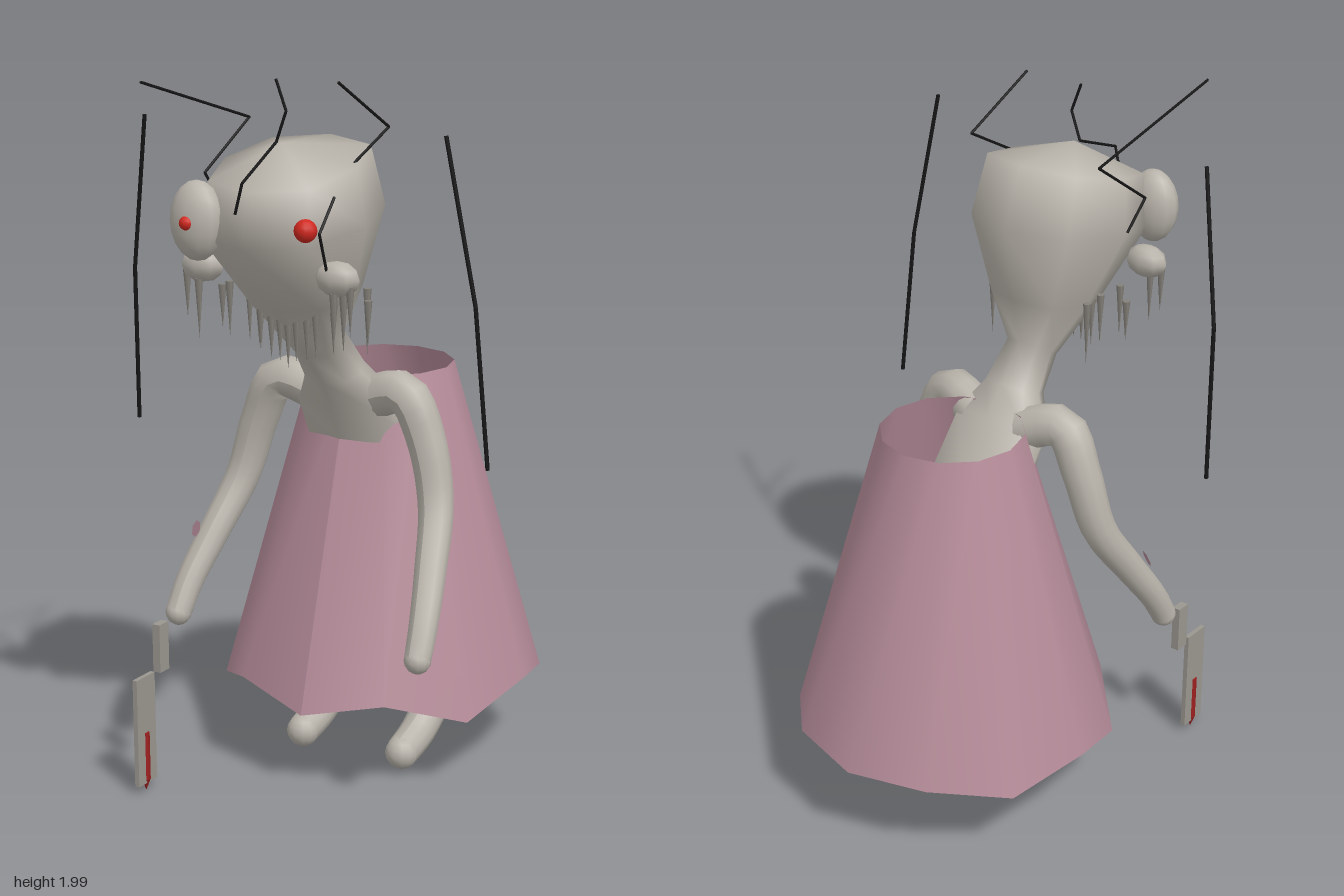
import * as THREE from 'three';

const mat = (name, color, side = THREE.FrontSide) => {
  const m = new THREE.MeshStandardMaterial({ color, side });
  m.name = name;
  return m;
};

export function createModel() {
  const model = new THREE.Group();
  const skin = mat('skin', 0xb8b3aa);
  const pink = mat('dusty pink cloth', 0xb58c99, THREE.DoubleSide);
  const red = mat('eye red', 0xd0281f);
  const blood = mat('blood red', 0xa02020);
  const black = mat('black', 0x161616);
  const metal = mat('metal', 0x9a968f);
  const tooth = mat('tooth grey', 0x85817a);
  const V = (p) => new THREE.Vector3(...p);

  const add = (name, geo, material, pos = [0, 0, 0], scale = [1, 1, 1]) => {
    const m = new THREE.Mesh(geo, material);
    m.name = name;
    m.position.set(...pos);
    m.scale.set(...scale);
    model.add(m);
    return m;
  };

  // Closed skin through rings of [back z, back y, front z, front y, half width]
  function loft(rings, n, bottom, top) {
    const pos = [], idx = [];
    const pow = (v) => Math.sign(v) * Math.abs(v) ** 0.8;
    for (const [bz, by, fz, fy, w] of rings)
      for (let i = 0; i < n; i++) {
        const a = (i / n) * Math.PI * 2, c = pow(Math.cos(a));
        pos.push(w * pow(Math.sin(a)), (by + fy) / 2 + c * (fy - by) / 2, (bz + fz) / 2 + c * (fz - bz) / 2);
      }
    const last = (rings.length - 1) * n, b = rings.length * n;
    pos.push(...bottom, ...top);
    for (let i = 0; i < n; i++) {
      const j = (i + 1) % n;
      for (let r = 0; r < last; r += n) idx.push(r + i, r + j, r + n + i, r + j, r + n + j, r + n + i);
      idx.push(b, j, i, b + 1, last + i, last + j);
    }
    const g = new THREE.BufferGeometry();
    g.setAttribute('position', new THREE.Float32BufferAttribute(pos, 3));
    g.setIndex(idx);
    g.computeVertexNormals();
    return g;
  }

  // Tapered round limb with a rounded end
  function limb(name, pts, r0, r1) {
    const curve = new THREE.CatmullRomCurve3(pts.map(V));
    const seg = 24, rad = 12, g = new THREE.TubeGeometry(curve, seg, r0, rad);
    const p = g.attributes.position, v = new THREE.Vector3();
    for (let i = 0; i < p.count; i++) {
      const u = Math.floor(i / (rad + 1)) / seg, c = curve.getPointAt(u);
      v.fromBufferAttribute(p, i).sub(c).multiplyScalar(1 + (r1 / r0 - 1) * u).add(c);
      p.setXYZ(i, v.x, v.y, v.z);
    }
    g.computeVertexNormals();
    add(name, g, skin);
    add(name + 'End', new THREE.SphereGeometry(r1, 12, 8), skin, pts[pts.length - 1]);
  }

  // Bent wire made of straight rods
  function wire(name, pts, r) {
    for (let i = 0; i + 1 < pts.length; i++) {
      const a = V(pts[i]), d = V(pts[i + 1]).sub(a);
      const m = add(name, new THREE.CylinderGeometry(r, r, d.length(), 5), black);
      m.position.copy(a).addScaledVector(d, 0.5);
      m.quaternion.setFromUnitVectors(new THREE.Vector3(0, 1, 0), d.normalize());
    }
  }

  // Body, neck and head in one skin
  add('bodyAndHead', loft([
    [-0.22, 0.58, -0.02, 0.58, 0.12],
    [-0.22, 0.8, 0.02, 0.8, 0.14],
    [-0.13, 1.0, 0.09, 0.99, 0.15],
    [-0.01, 1.14, 0.135, 1.09, 0.15],
    [0.05, 1.22, 0.175, 1.165, 0.085],
    [0.13, 1.32, 0.25, 1.25, 0.067],
    [0.105, 1.45, 0.4, 1.4, 0.14],
    [0.065, 1.67, 0.57, 1.59, 0.218],
    [0.13, 1.835, 0.54, 1.73, 0.2],
  ], 8, [0, 0.54, -0.12], [0, 1.838, 0.37]), skin);

  // Skirt: open twelve-sided cone with a ragged hem
  const skirt = new THREE.CylinderGeometry(0.2, 0.46, 1, 12, 1, true);
  const hem = [0.245, 0.295, 0.225, 0.295, 0.25, 0.29, 0.285, 0.29, 0.25, 0.295, 0.225, 0.295];
  const sp = skirt.attributes.position;
  for (let i = 0; i < sp.count; i++) sp.setY(i, sp.getY(i) > 0 ? 1.165 : hem[(i % 13) % 12]);
  skirt.computeVertexNormals();
  add('skirt', skirt, pink, [0, 0, -0.16]);

  // Limbs, cheek lumps and floating feelers, mirrored
  for (const s of [1, -1]) {
    const m = (pts) => pts.map(([x, y, z]) => [s * x, y, z]);
    limb('arm', m([[0.08, 1.11, 0.05], [0.2, 1.14, 0.075], [0.265, 1.02, 0.075], [0.31, 0.85, 0.1],
      [0.347, 0.7, 0.195], [0.375, 0.57, 0.285], [0.383, 0.49, 0.33]]), 0.062, 0.037);
    limb('leg', m([[0.09, 0.75, -0.11], [0.14, 0.5, -0.14], [0.165, 0.3, -0.16], [0.165, 0.18, -0.165],
      [0.165, 0.105, -0.08], [0.165, 0.07, 0.02]]), 0.07, 0.048);
    add('cheekLump', new THREE.SphereGeometry(1, 8, 6), skin, [s * 0.205, 1.515, 0.44], [0.065, 0.046, 0.042]);
    wire('feeler', m([[0.455, 1.88, 0.335], [0.525, 1.45, 0.3], [0.548, 1.02, 0.265]]), 0.006);
  }

  // Eyes
  add('bulgingEye', new THREE.SphereGeometry(1, 12, 10), skin, [-0.165, 1.645, 0.52], [0.076, 0.105, 0.058]);
  add('smallPupil', new THREE.SphereGeometry(0.019, 10, 8), red, [-0.165, 1.645, 0.57]);
  add('redEye', new THREE.SphereGeometry(0.03, 12, 8), red, [0.16, 1.645, 0.52]);

  // Dangling teeth along the jaw: [x, top y, z, length]
  const teeth = [[0.025, 1.38, 0.35, 0.12], [0.055, 1.38, 0.345, 0.12], [0.085, 1.4, 0.35, 0.12],
    [0.115, 1.42, 0.31, 0.14], [0.145, 1.44, 0.31, 0.15], [0.165, 1.45, 0.22, 0.18],
    [0.175, 1.46, 0.36, 0.15], [0.205, 1.48, 0.46, 0.16], [0.225, 1.44, 0.32, 0.12], [0.248, 1.5, 0.45, 0.13]];
  const hang = (x, y, z, l) => {
    const g = new THREE.ConeGeometry(0.011, l, 6);
    g.rotateX(Math.PI);
    add('tooth', g, tooth, [x, y - l / 2, z]);
  };
  hang(0, 1.37, 0.35, 0.13);
  for (const [x, y, z, l] of teeth) for (const s of [1, -1]) hang(s * x, y, z, l);

  // Wiry hairs
  wire('hair', [[-0.26, 2, 0.62], [-0.23, 1.87, 0.17], [-0.255, 1.74, 0.35], [-0.235, 1.65, 0.3]], 0.004);
  wire('hair', [[-0.015, 2, 0.375], [0.015, 1.92, 0.375], [-0.015, 1.84, 0.375], [0.012, 1.76, 0.58],
    [-0.015, 1.68, 0.572]], 0.004);
  wire('hair', [[0.17, 2, 0.375], [0.2, 1.87, 0.17], [0.175, 1.78, 0.33]], 0.004);
  wire('hair', [[0.19, 1.72, 0.43], [0.2, 1.64, 0.52], [0.19, 1.54, 0.47]], 0.004);

  // Knife with blood on the blade
  add('knifeHandle', new THREE.BoxGeometry(0.024, 0.14, 0.043), metal, [-0.391, 0.41, 0.408]);
  add('knifeBlade', new THREE.BoxGeometry(0.014, 0.315, 0.085), metal, [-0.391, 0.192, 0.493]);
  add('bloodStreak', new THREE.CylinderGeometry(0.013, 0.013, 0.14, 6), blood, [-0.391, 0.115, 0.493]);
  const drip = new THREE.ConeGeometry(0.013, 0.035, 6);
  drip.rotateX(Math.PI);
  add('bloodDrip', drip, blood, [-0.391, 0.028, 0.493]);

  // Red spike hanging under the body
  const spike = new THREE.ConeGeometry(0.03, 0.14, 6);
  spike.rotateX(Math.PI);
  add('redSpike', spike, blood, [0, 0.52, -0.13]);

  // Pink patch on the forearm
  const patch = add('armPatch', new THREE.CircleGeometry(0.025, 6), pink, [-0.378, 0.712, 0.243]);
  patch.lookAt(-0.878, 1.05, 1.043);

  return model;
}
